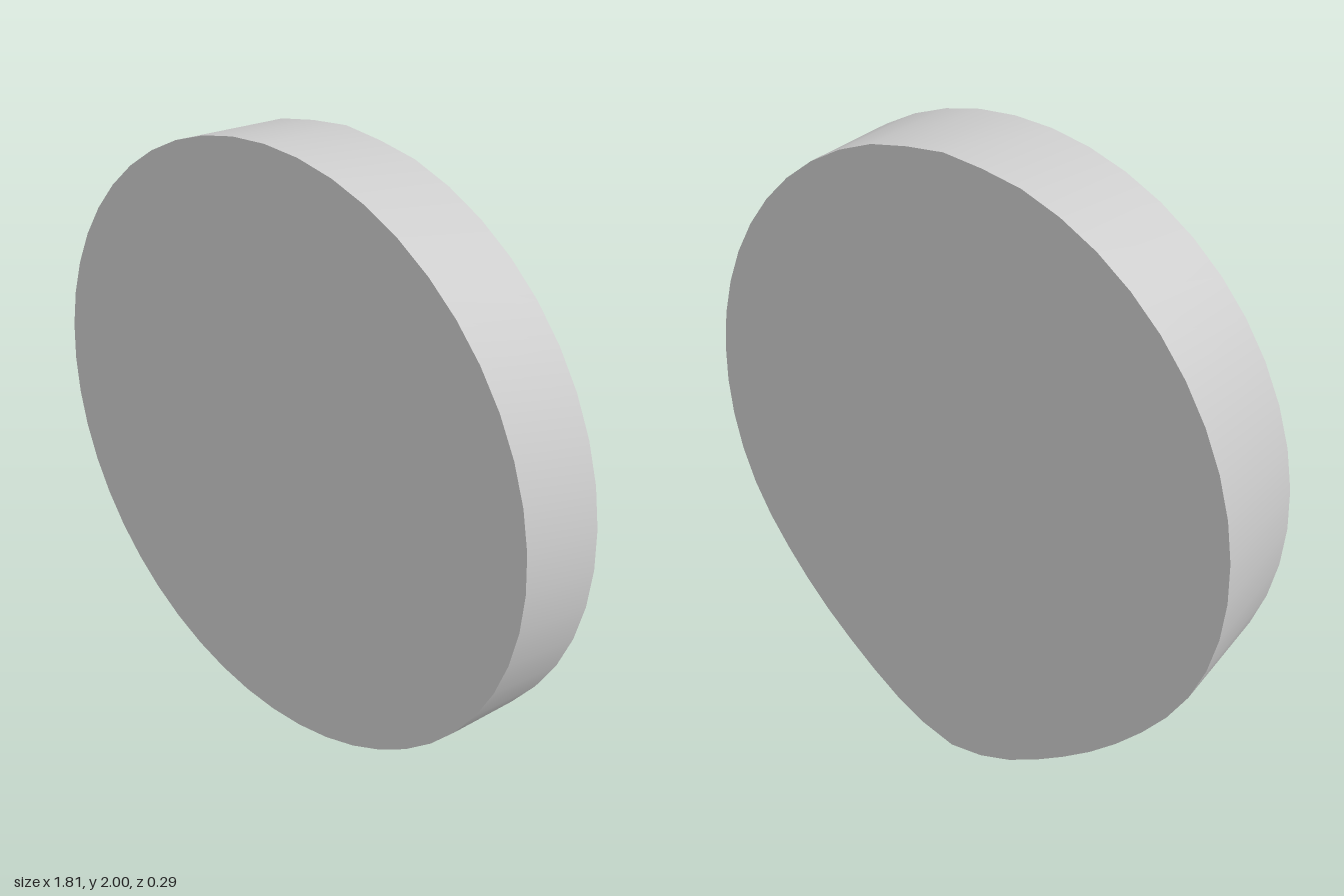
import * as THREE from 'three';
import { toCreasedNormals } from 'three/addons/utils/BufferGeometryUtils.js';

const HALF = 24; // segments from top to bottom on each side
const DEPTH = 0.145;
const RADIUS = 0.903;
const CENTER_Y = 1.097;

// Mirrors a top-to-bottom half outline into a closed clockwise ring
function mirrorRing(half) {
  const left = half.slice(1, -1).reverse().map((p) => new THREE.Vector3(-p.x, p.y, p.z));
  return [...half, ...left];
}

// Round front outline
function frontRing() {
  const half = [];
  for (let i = 0; i <= HALF; i++) {
    const a = (i / HALF) * Math.PI;
    half.push(new THREE.Vector3(RADIUS * Math.sin(a), CENTER_Y + RADIUS * Math.cos(a), DEPTH));
  }
  return mirrorRing(half);
}

// Teardrop back outline: elliptical upper half, tapering to a blunt tip
function backRing() {
  const points = [];
  for (let i = 0; i <= 6; i++) {
    const a = (i / 6) * Math.PI / 2;
    points.push([RADIUS * Math.sin(a), 1.05 + 0.935 * Math.cos(a)]);
  }
  points.push([0.875, 0.82], [0.79, 0.61], [0.6, 0.365], [0.4, 0.19], [0.2, 0.06], [0.04, 0.003], [0, 0]);
  const curve = new THREE.CatmullRomCurve3(points.map(([x, y]) => new THREE.Vector3(x, y, -DEPTH)));
  return mirrorRing(curve.getSpacedPoints(HALF));
}

export function createModel() {
  const front = frontRing();
  const back = backRing();
  const frontCenter = new THREE.Vector3(0, CENTER_Y, DEPTH);
  const backCenter = new THREE.Vector3(0, CENTER_Y, -DEPTH);
  const positions = [];
  const triangle = (...corners) => corners.forEach((p) => positions.push(p.x, p.y, p.z));

  // Flat faces and the rim lofted between them
  front.forEach((f, i) => {
    const j = (i + 1) % front.length;
    triangle(frontCenter, front[j], f);
    triangle(backCenter, back[i], back[j]);
    triangle(f, front[j], back[j]);
    triangle(f, back[j], back[i]);
  });

  const geometry = new THREE.BufferGeometry();
  geometry.setAttribute('position', new THREE.Float32BufferAttribute(positions, 3));
  const disc = new THREE.Mesh(
    toCreasedNormals(geometry, 0.5),
    new THREE.MeshStandardMaterial({ color: 0xcccccc })
  );
  disc.name = 'teardropDisc';

  const group = new THREE.Group();
  group.name = 'discModel';
  group.add(disc);
  return group;
}
